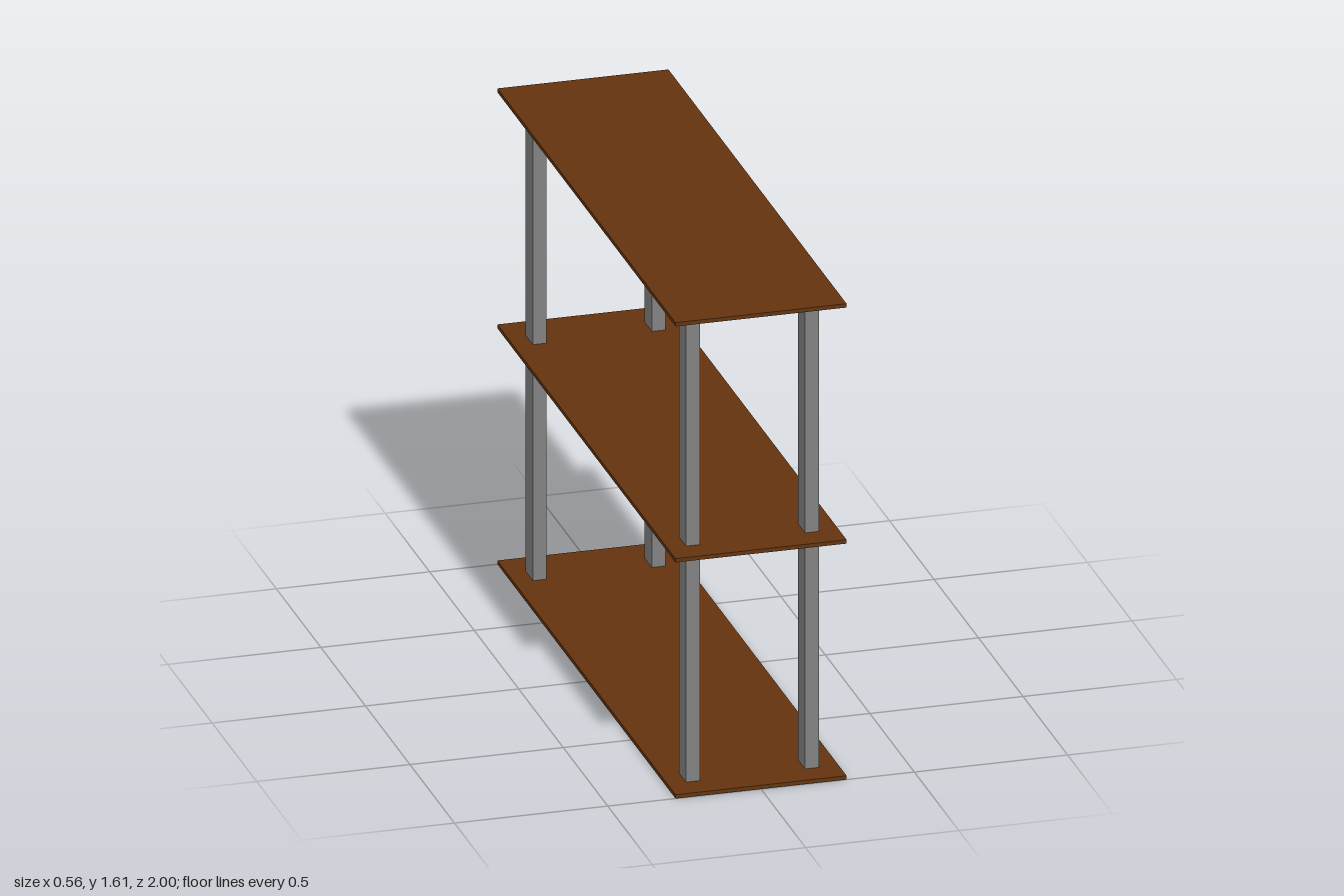
import * as THREE from 'three';

export function createModel() {
  const model = new THREE.Group();
  model.name = 'shelfUnit';

  const wood = new THREE.MeshStandardMaterial({ color: 0x63330f });
  wood.name = 'brown wood';
  const metal = new THREE.MeshStandardMaterial({ color: 0x828282 });
  metal.name = 'grey metal';

  const board = 0.013; // shelf thickness
  const levels = [0, 0.8, 1.6]; // underside of each shelf

  const addBox = (name, size, position, material) => {
    const mesh = new THREE.Mesh(new THREE.BoxGeometry(...size), material);
    mesh.name = name;
    mesh.position.set(...position);
    model.add(mesh);
  };

  // Three equal shelves
  ['bottomShelf', 'middleShelf', 'topShelf'].forEach((name, i) =>
    addBox(name, [0.558, board, 2], [0, levels[i] + board / 2, 0], wood));

  // Four posts between each pair of shelves
  for (let i = 0; i < 2; i++) {
    const from = levels[i] + board;
    const height = levels[i + 1] - from;
    for (const [side, x] of [['Right', -0.196], ['Left', 0.192]]) {
      for (const [end, z] of [['front', 0.87], ['back', -0.85]]) {
        addBox(`${end}${side}${i ? 'Upper' : 'Lower'}Post`,
          [0.045, height, 0.08], [x, from + height / 2, z], metal);
      }
    }
  }
  return model;
}
